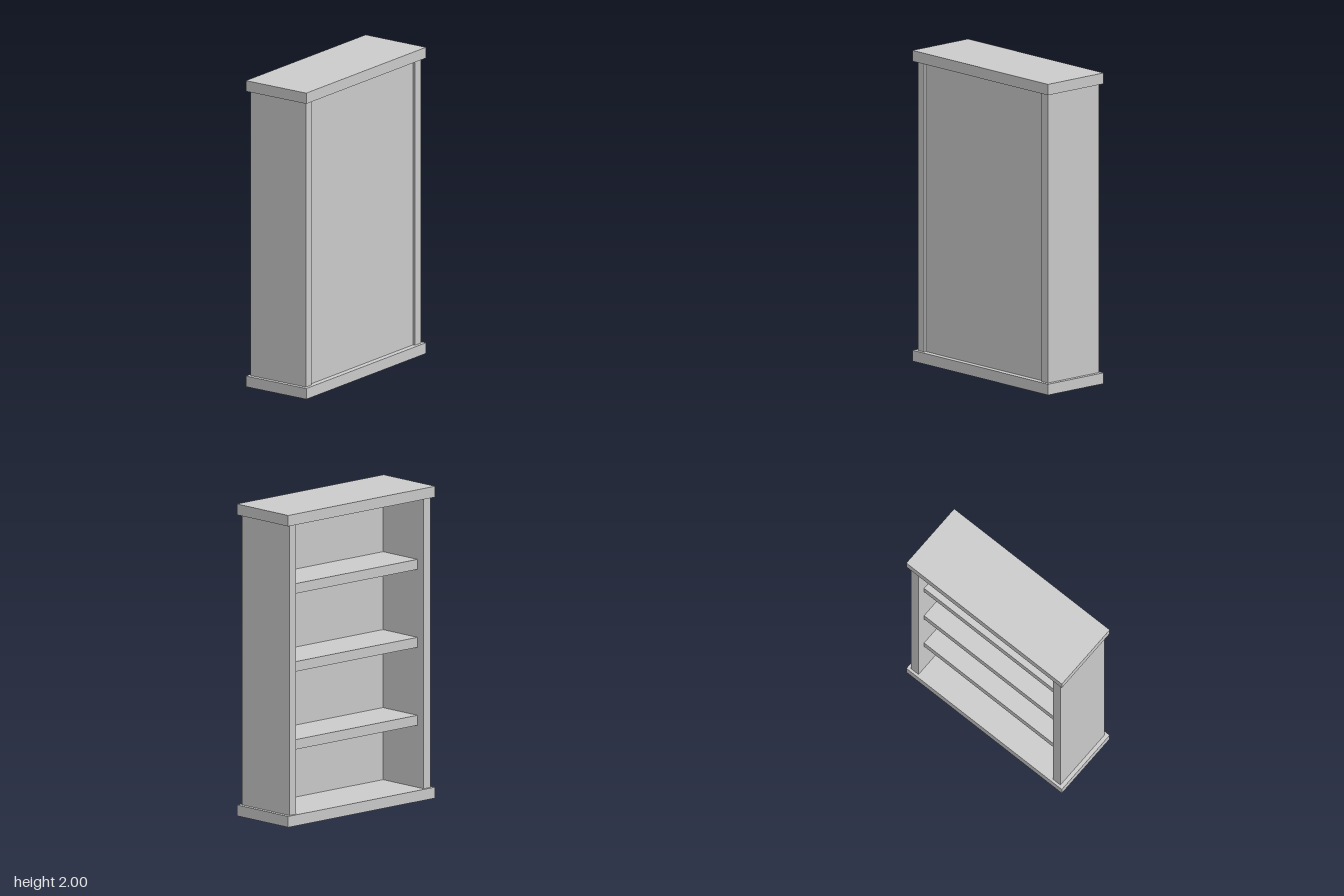
import * as THREE from 'three';

const material = new THREE.MeshStandardMaterial({ color: 0xcccccc, flatShading: true });

// Box given by its [min, max] extent on each axis
function board(name, [x0, x1], [y0, y1], [z0, z1]) {
  const mesh = new THREE.Mesh(new THREE.BoxGeometry(x1 - x0, y1 - y0, z1 - z0), material);
  mesh.name = name;
  mesh.position.set((x0 + x1) / 2, (y0 + y1) / 2, (z0 + z1) / 2);
  return mesh;
}

export function createModel() {
  const bookcase = new THREE.Group();
  bookcase.name = 'bookcase';

  const slab = 0.07;
  const slabX = [-0.235, 0.235];
  const slabZ = [-0.633, 0.633];
  const inner = 0.548;
  const outer = 0.607;
  const sideX = [-0.218, 0.213];
  const innerY = [slab, 2 - slab];

  // Overhanging plinth and top
  bookcase.add(board('base', slabX, [0, slab], slabZ));
  bookcase.add(board('top', slabX, [2 - slab, 2], slabZ));

  // Upright side walls
  bookcase.add(board('frontSide', sideX, innerY, [inner, outer]));
  bookcase.add(board('backSide', sideX, innerY, [-outer, -inner]));

  // Closing panel, slightly recessed; the -x side stays open
  bookcase.add(board('closingPanel', [0.152, 0.197], innerY, [-inner, inner]));

  // Three shelves set back from the open side
  for (let i = 1; i <= 3; i++) {
    const y = i * 0.5;
    bookcase.add(board(`shelf${i}`, [-0.163, 0.152], [y - 0.032, y + 0.032], [-inner, inner]));
  }

  return bookcase;
}
